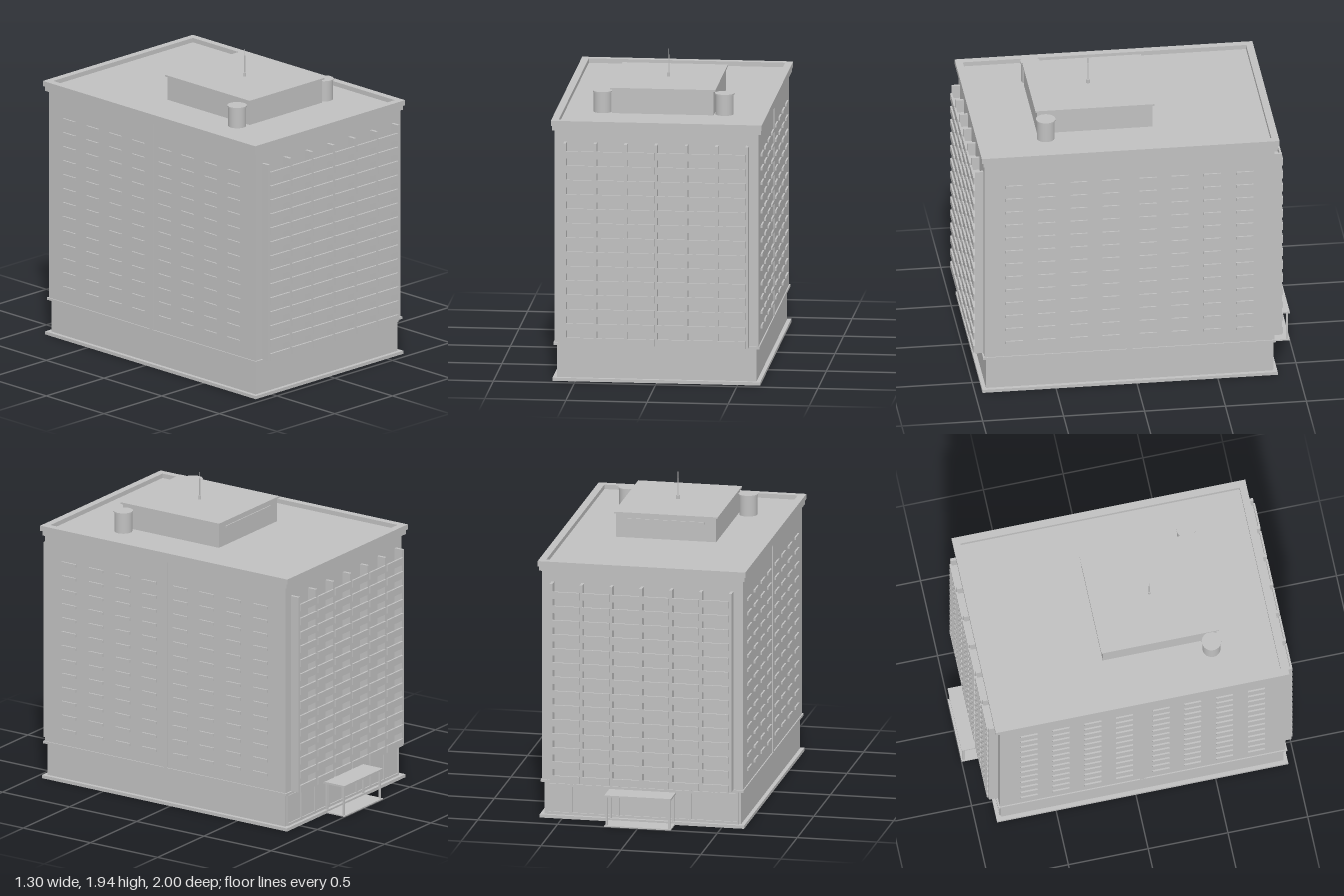
import * as THREE from 'three';

export function createModel() {
  const root = new THREE.Group();
  root.name = 'towerBlock';
  const concrete = new THREE.MeshStandardMaterial({ color: 0xc0c0c0 });
  concrete.name = 'concrete';

  const group = (name) => {
    const g = new THREE.Group();
    g.name = name;
    root.add(g);
    return g;
  };
  // box given by its limits on each axis
  const box = (name, x0, x1, y0, y1, z0, z1, parent = root) => {
    const m = new THREE.Mesh(new THREE.BoxGeometry(x1 - x0, y1 - y0, Math.abs(z1 - z0)), concrete);
    m.position.set((x0 + x1) / 2, (y0 + y1) / 2, (z0 + z1) / 2);
    m.name = name;
    parent.add(m);
    return m;
  };
  const cylinder = (name, r, y0, y1, x, z, sides, parent = root) => {
    const m = new THREE.Mesh(new THREE.CylinderGeometry(r, r, y1 - y0, sides), concrete);
    m.position.set(x, (y0 + y1) / 2, z);
    m.name = name;
    parent.add(m);
  };

  // main masses
  box('plinth', -0.64, 0.64, 0, 0.02, -0.87, 0.955);
  box('groundFloor', -0.615, 0.615, 0.02, 0.225, -0.84, 0.93);
  box('ledge', -0.635, 0.635, 0.225, 0.24, -0.86, 0.95);
  box('tower', -0.628, 0.628, 0.24, 1.57, -0.85, 0.94);

  // cornice, roof deck and parapet rim
  box('cornice', -0.643, 0.643, 1.57, 1.605, -0.87, 0.948);
  const parapet = group('parapet');
  for (const s of [-1, 1]) {
    box('parapetSide', s < 0 ? -0.65 : 0.605, s < 0 ? -0.605 : 0.65, 1.6, 1.633, -0.88, 0.96, parapet);
  }
  box('parapetFront', -0.605, 0.605, 1.6, 1.633, 0.915, 0.96, parapet);
  box('parapetBack', -0.605, 0.605, 1.6, 1.633, -0.88, -0.835, parapet);

  // balconies and piers on the front and back
  const pitch = 0.187, floor = 0.09, floors = 14;
  for (const [name, wall, d, depth] of [['front', 0.94, 1, 0.06], ['back', -0.85, -1, 0.065]]) {
    const facade = group(name + 'Balconies');
    for (let i = -3; i <= 3; i++) {
      const x = i * pitch;
      box('pier', x - 0.009, x + 0.009, 0.24, 1.5, wall, wall + d * (depth - 0.009), facade);
    }
    for (let i = -3; i < 3; i++) {
      const x0 = i * pitch + 0.009, x1 = x0 + pitch - 0.018;
      for (let k = 0; k < floors; k++) {
        const y = 0.237 + k * floor;
        box('balconyFloor', x0, x1, y, y + 0.01, wall, wall + d * (depth - 0.012), facade);
        box('balconyRail', x0, x1, y, y + 0.045, wall + d * (depth - 0.012), wall + d * depth, facade);
      }
    }
  }

  // window sills and the central rib on both sides
  for (const s of [-1, 1]) {
    const side = group(s < 0 ? 'rightSide' : 'leftSide');
    const out = (a, b) => (s < 0 ? [-b, -a] : [a, b]);
    const [r0, r1] = out(0.62, 0.634);
    box('rib', r0, r1, 0.24, 1.57, 0.028, 0.06, side);
    const [s0, s1] = out(0.62, 0.638);
    for (const c of [0.115, 0.312, 0.512, 0.712]) {
      for (const h of [-1, 1]) {
        const z = 0.045 + h * c;
        for (let k = 1; k < floors; k++) {
          const y = 0.237 + k * floor;
          box('windowSill', s0, s1, y, y + 0.018, z - 0.053, z + 0.053, side);
        }
      }
    }
  }

  // rear ground-floor window frames
  const shop = group('rearGlazing');
  for (let i = -4; i <= 4; i++) {
    const x = i * 0.149;
    box('mullion', x - 0.006, x + 0.006, 0.02, 0.225, -0.84, -0.848, shop);
  }
  box('lowerRail', -0.6, 0.6, 0.02, 0.035, -0.84, -0.848, shop);
  box('upperRail', -0.6, 0.6, 0.2, 0.215, -0.84, -0.848, shop);

  // rear entrance canopy
  const entrance = group('entrance');
  box('canopy', -0.208, 0.208, 0.188, 0.2, -1, -0.84, entrance);
  box('doorStep', -0.208, 0.208, 0, 0.008, -1, -0.86, entrance);
  for (const x of [-0.195, 0.195]) {
    for (const z of [-0.862, -0.985]) {
      box('canopyPost', x - 0.006, x + 0.006, 0, 0.19, z - 0.006, z + 0.006, entrance);
    }
  }

  // rooftop plant room, tanks and mast
  const roof = group('roofStructures');
  box('plantRoom', -0.313, 0.313, 1.6, 1.755, -0.138, 0.575, roof);
  box('plantRoomRoof', -0.325, 0.325, 1.755, 1.766, -0.148, 0.587, roof);
  box('ventStrip', -0.24, 0.24, 1.715, 1.728, -0.144, -0.138, roof);
  for (const x of [-0.376, 0.376]) {
    cylinder('tank', 0.055, 1.6, 1.73, x, 0.53, 32, roof);
    cylinder('tankLid', 0.06, 1.73, 1.738, x, 0.53, 32, roof);
  }
  cylinder('mastFoot', 0.008, 1.766, 1.79, 0, 0.22, 12, roof);
  cylinder('mastBase', 0.004, 1.79, 1.9, 0, 0.22, 8, roof);
  cylinder('mastTip', 0.002, 1.9, 1.94, 0, 0.22, 8, roof);

  return root;
}
